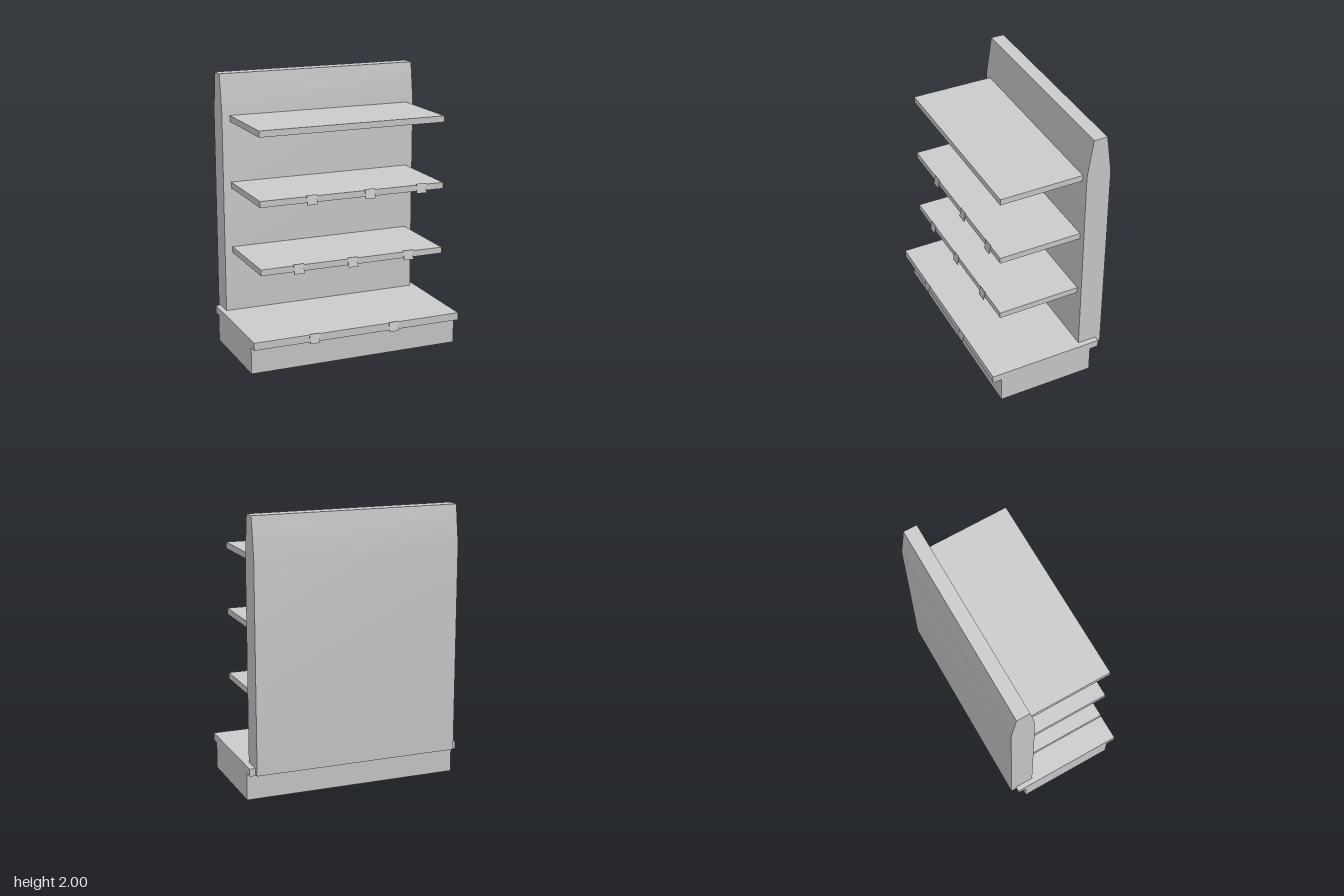
import * as THREE from 'three';
import { toCreasedNormals } from 'three/addons/utils/BufferGeometryUtils.js';

const grey = new THREE.MeshStandardMaterial({ color: 0xcccccc });
const greyThin = new THREE.MeshStandardMaterial({ color: 0xcccccc, side: THREE.DoubleSide });

export function createModel() {
  const model = new THREE.Group();

  const add = (name, geometry, x, y, z, material = grey) => {
    const mesh = new THREE.Mesh(geometry, material);
    mesh.name = name;
    mesh.position.set(x, y, z);
    model.add(mesh);
    return mesh;
  };
  // Box given by its width and its y and z limits
  const slab = (name, w, y0, y1, z0, z1) =>
    add(name, new THREE.BoxGeometry(w, y1 - y0, z1 - z0), 0, (y0 + y1) / 2, (z0 + z1) / 2);

  // Back panel: side profile, tapered at the top, extruded along x
  const profile = new THREE.Shape([
    [0.27, 0.205], [0.45, 0.205], [0.45, 1.72], [0.41, 2], [0.31, 2], [0.27, 1.72],
  ].map(([a, b]) => new THREE.Vector2(a, b)));
  const panel = new THREE.ExtrudeGeometry(profile, { depth: 1.506, bevelEnabled: false });
  panel.rotateY(Math.PI / 2).translate(-0.755, 0, 0);
  add('backPanel', toCreasedNormals(panel, 0.5), 0, 0, 0);

  // Bottom deck and shelves
  slab('deck', 1.584, 0.195, 0.25, -0.41, 0.44);
  const shelfBottoms = [0.69, 1.175, 1.66];
  shelfBottoms.forEach((y) => slab('shelf', 1.394, y, y + 0.045, -0.27, 0.338));

  // Plinth: four thin walls, open underneath
  const plinthH = 0.195, front = 0.375, back = -0.345, halfW = 0.792;
  const wall = (name, w, x, z, turn) => {
    add(name, new THREE.PlaneGeometry(w, plinthH), x, plinthH / 2, z, greyThin).rotation.y = turn;
  };
  wall('plinthFront', halfW * 2, 0, front, 0);
  wall('plinthBack', halfW * 2, 0, back, Math.PI);
  for (const s of [-1, 1]) {
    wall('plinthSide', front - back, s * halfW, (front + back) / 2, s * Math.PI / 2);
  }

  // Tilted price tags clipped to the front edges
  const tagGeometry = new THREE.BoxGeometry(0.075, 0.07, 0.004);
  const tagRows = [
    { y: 0.22, z: 0.446, xs: [-0.345, 0.27] },
    { y: 0.71, z: 0.345, xs: [-0.42, -0.01, 0.425] },
    { y: 1.195, z: 0.345, xs: [-0.32, 0.12, 0.52] },
  ];
  for (const { y, z, xs } of tagRows) {
    for (const x of xs) add('priceTag', tagGeometry, x, y, z).rotation.x = -0.17;
  }

  return model;
}
